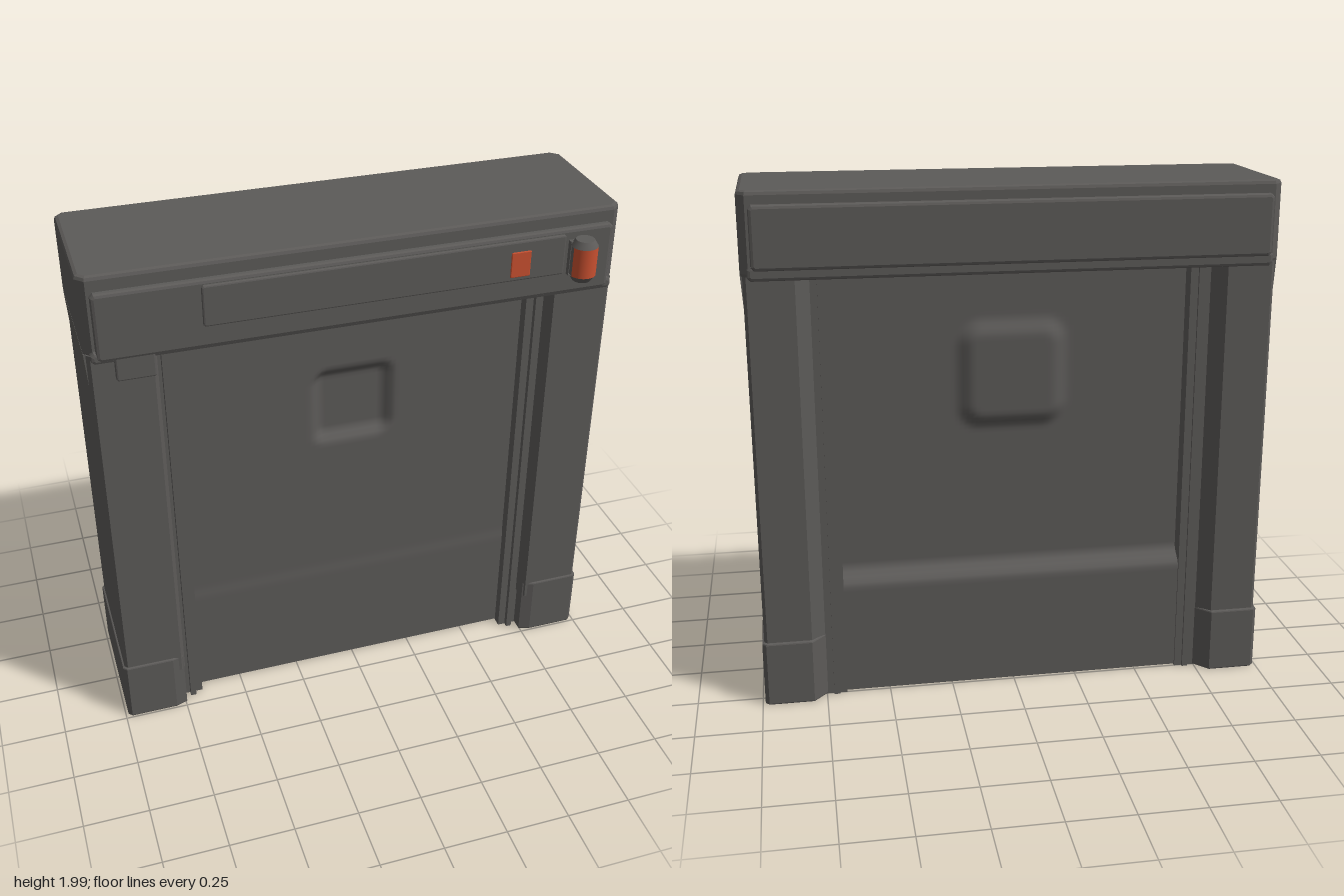
import * as THREE from 'three';

export function createModel() {
  const root = new THREE.Group();
  root.name = 'doorFrame';
  const metal = new THREE.MeshStandardMaterial({ color: 0x5c5a58 });
  metal.name = 'darkGreyMetal';
  const orange = new THREE.MeshStandardMaterial({ color: 0xc85030 });
  orange.name = 'orangeLight';

  const add = (name, geometry, material = metal) => {
    const mesh = new THREE.Mesh(geometry, material);
    mesh.name = name;
    root.add(mesh);
    return mesh;
  };

  // Box given by its limits on each axis
  const box = (name, x0, x1, y0, y1, z0, z1) => {
    const g = new THREE.BoxGeometry(Math.abs(x1 - x0), y1 - y0, z1 - z0);
    g.translate((x0 + x1) / 2, (y0 + y1) / 2, (z0 + z1) / 2);
    return add(name, g);
  };

  // Upright prism from an outline of [x, z] points, with an optional hole
  const toPoints = (list, s) => list.map(([x, z]) => new THREE.Vector2(x * s, -z));
  const prism = (name, outline, y0, y1, s = 1, bevel = 0, hole = null) => {
    const shape = new THREE.Shape(toPoints(outline, s));
    if (hole) shape.holes.push(new THREE.Path(toPoints(hole, s)));
    const g = new THREE.ExtrudeGeometry(shape, {
      depth: y1 - y0 - 2 * bevel, bevelEnabled: bevel > 0, bevelThickness: bevel,
      bevelSize: bevel, bevelOffset: -bevel, bevelSegments: 2,
    });
    g.rotateX(-Math.PI / 2);
    g.translate(0, y0 + bevel, 0);
    return add(name, g);
  };
  const chamfered = (x0, x1, z0, z1, c) => [
    [x0 + c, z0], [x1 - c, z0], [x1, z0 + c], [x1, z1 - c],
    [x1 - c, z1], [x0 + c, z1], [x0, z1 - c], [x0, z0 + c],
  ];

  // Soft-edged plate in the front plane, reaching from z0 to z1
  const plate = (name, x0, x1, y0, y1, z0, z1, bevel = 0.012, material = metal) => {
    const shape = new THREE.Shape(chamfered(x0, x1, y0, y1, bevel).map(([x, y]) => new THREE.Vector2(x, y)));
    const g = new THREE.ExtrudeGeometry(shape, {
      depth: z1 - z0 - 2 * bevel, bevelThickness: bevel, bevelSize: bevel,
      bevelOffset: -bevel, bevelSegments: 2,
    });
    g.translate(0, 0, z0 + bevel);
    return add(name, g, material);
  };

  // Pillars, door tracks and hollow feet
  for (const s of [-1, 1]) {
    const side = s > 0 ? 'left' : 'right';
    prism(side + 'Pillar', [
      [0.97, 0.237], [0.755, 0.237], [0.74, 0.22], [0.74, -0.245],
      [0.80, -0.297], [0.97, -0.297], [0.982, -0.285], [0.982, 0.225],
    ], 0.2, 1.7, s);
    box(side + 'Track', s * 0.67, s * 0.765, 0.01, 1.69, -0.252, 0.18);
    box(side + 'TrackRidge', s * 0.7, s * 0.722, 0.01, 1.69, -0.262, 0.2);
    prism(side + 'Foot', [
      [0.975, 0.245], [0.79, 0.245], [0.745, 0.23], [0.745, -0.25],
      [0.80, -0.31], [0.975, -0.31], [0.99, -0.295], [0.99, 0.23],
    ], 0.01, 0.27, s, 0.006, [[0.965, 0.22], [0.785, 0.22], [0.785, -0.235], [0.82, -0.285], [0.965, -0.285]]);
    // Flare where the pillar meets the header
    const flare = new THREE.Shape([[0.9, 1.57], [0.982, 1.57], [0.99, 1.7], [0.9, 1.7]]
      .map(([x, y]) => new THREE.Vector2(s * x, y)));
    const fg = new THREE.ExtrudeGeometry(flare, { depth: 0.5, bevelEnabled: false });
    add(side + 'Flare', fg.translate(0, 0, -0.283));
  }

  // Door faces: grids pressed with a rounded square and a low step
  const smooth = THREE.MathUtils.smoothstep;
  const pressed = (cx, cy, half, r, slope) => (x, y) => {
    const dx = Math.max(Math.abs(x - cx) - half + r, 0);
    const dy = Math.max(Math.abs(y - cy) - half + r, 0);
    return 1 - smooth(Math.hypot(dx, dy), r - slope, r + 0.01);
  };
  const doorFace = (name, back, rule) => {
    const g = new THREE.PlaneGeometry(1.38, 1.67, 80, 100);
    g.translate(0, 0.855, 0);
    const p = g.attributes.position;
    for (let i = 0; i < p.count; i++) p.setZ(i, rule(p.getX(i), p.getY(i)));
    if (back) g.rotateY(Math.PI);
    g.computeVertexNormals();
    add(name, g);
  };
  const frontPress = pressed(0, 1.275, 0.155, 0.05, 0.035);
  const backPress = pressed(0, 1.275, 0.21, 0.09, 0.06);
  doorFace('doorFront', false, (x, y) => 0.138 - 0.03 * frontPress(x, y) + 0.004 * (1 - smooth(y, 0.47, 0.52)));
  doorFace('doorBack', true, (x, y) => 0.19 + 0.028 * backPress(x, y) + 0.055 * (1 - smooth(y, 0.46, 0.52)));
  box('doorBottom', -0.7, 0.7, 0.015, 0.03, -0.245, 0.142);

  // Header beam with raised bands front and back
  prism('header', chamfered(-0.99, 0.99, -0.315, 0.242, 0.03), 1.69, 1.997, 1, 0.015);
  box('headerSoffit', -0.96, 0.96, 1.678, 1.71, -0.3, 0.235);
  plate('frontBand', -0.95, 0.95, 1.685, 1.94, 0.2, 0.268);
  plate('frontLowerLip', -0.97, 0.97, 1.675, 1.72, 0.2, 0.262);
  plate('frontInset', -0.58, 0.76, 1.77, 1.925, 0.24, 0.28, 0.006);
  plate('backBand', -0.95, 0.95, 1.72, 1.95, -0.345, -0.28);
  plate('backLowerLip', -0.965, 0.965, 1.68, 1.735, -0.322, -0.27);
  plate('bracket', -0.89, -0.75, 1.6, 1.7, 0.2, 0.264, 0.006);

  // Square signal light
  plate('squareLight', 0.547, 0.623, 1.787, 1.886, 0.276, 0.285, 0.003, orange);

  // Round lamp: mount, dark body with domed ends and an orange lens around its front
  box('lampMount', 0.775, 0.869, 1.765, 1.9, 0.24, 0.288);
  add('lampBody', new THREE.CylinderGeometry(0.047, 0.047, 0.12, 24)).position.set(0.822, 1.832, 0.302);
  const arc = THREE.MathUtils.degToRad(75);
  const lens = new THREE.CylinderGeometry(0.05, 0.05, 0.112, 20, 1, true, -arc, 2 * arc);
  add('lampLens', lens, orange).position.set(0.822, 1.832, 0.302);
  for (const s of [-1, 1]) {
    const cap = add(s > 0 ? 'lampTopCap' : 'lampBottomCap',
      new THREE.CylinderGeometry(s > 0 ? 0.034 : 0.05, s > 0 ? 0.05 : 0.034, 0.024, 24));
    cap.position.set(0.822, 1.832 + s * 0.068, 0.302);
  }

  return root;
}
